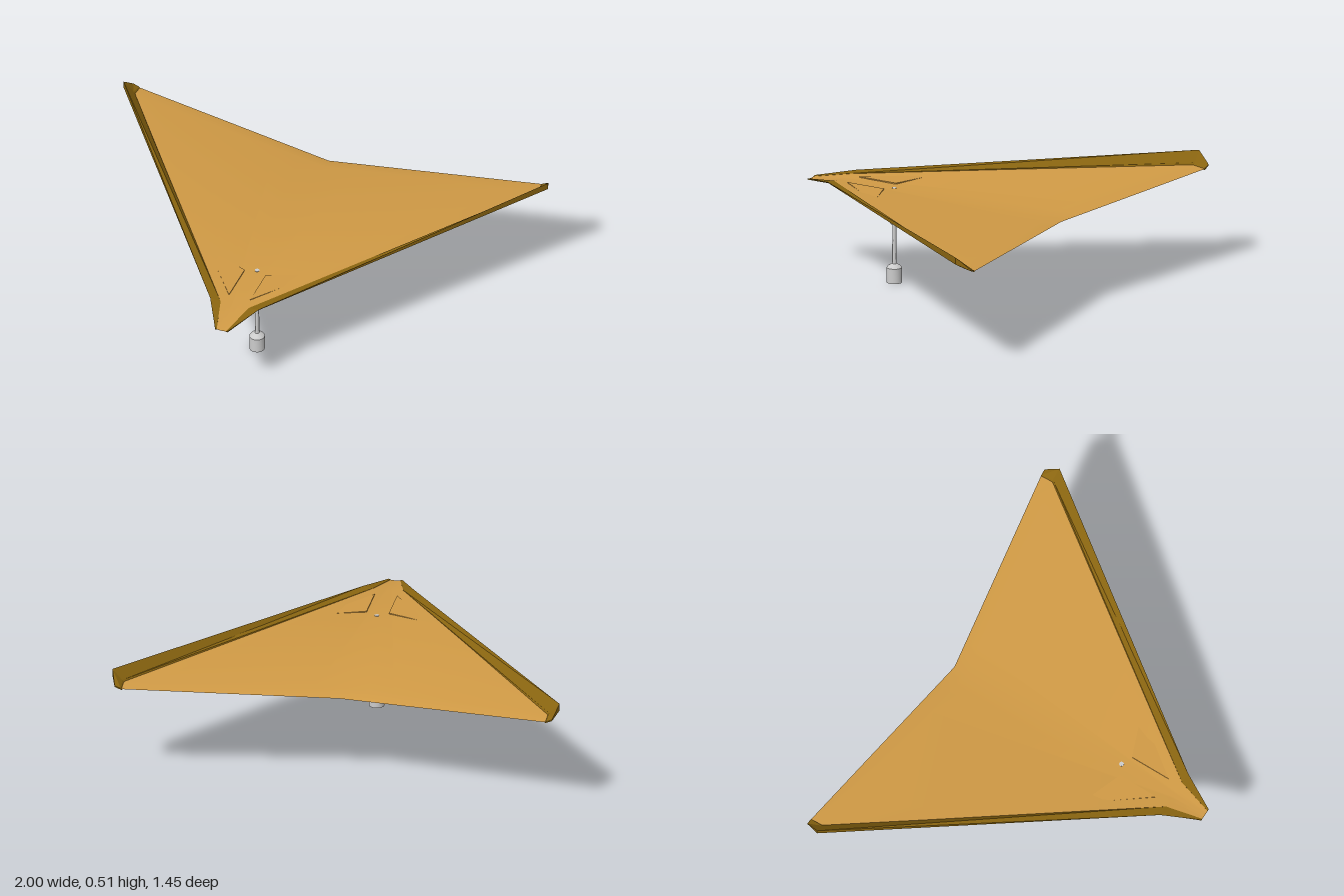
import * as THREE from 'three';
import { toCreasedNormals } from 'three/addons/utils/BufferGeometryUtils.js';

const sailMat = new THREE.MeshStandardMaterial({ color: 0xd09a45, side: THREE.DoubleSide });
const rimMat = new THREE.MeshStandardMaterial({ color: 0x8a6510, side: THREE.DoubleSide });
const greyMat = new THREE.MeshStandardMaterial({ color: 0xcccccc });

// Skin over rows of [x, y, z] points; closed rows form a capped tube
function loft(rows, closed) {
  const n = rows[0].length, index = [];
  const last = closed ? n : n - 1;
  for (let i = 0; i < rows.length - 1; i++) {
    for (let j = 0; j < last; j++) {
      const a = i * n + j, b = i * n + (j + 1) % n;
      index.push(a, b, a + n, b, b + n, a + n);
    }
  }
  if (closed) {
    const e = (rows.length - 1) * n;
    for (let j = 1; j < n - 1; j++) index.push(0, j + 1, j, e, e + j, e + j + 1);
  }
  const geo = new THREE.BufferGeometry();
  geo.setAttribute('position', new THREE.Float32BufferAttribute(rows.flat(2), 3));
  geo.setIndex(index);
  geo.computeVertexNormals();
  return geo;
}

function add(group, name, geo, mat) {
  const mesh = new THREE.Mesh(geo, mat);
  mesh.name = name;
  group.add(mesh);
  return mesh;
}

export function createModel() {
  const model = new THREE.Group();
  model.name = 'deltaWing';

  // Sail: keel points paired with the points where the sail meets the rim
  const keel = [[0, 0.409, 0.72], [0, 0.43, 0.56], [0, 0.43, -0.51], [0, 0.411, -0.58]];
  const edge = [[0.022, 0.411, 0.72], [0.066, 0.437, 0.56], [0.95, 0.452, -0.66], [0.95, 0.442, -0.728]];
  const steps = 8;
  const sailRows = keel.map((k, i) => {
    const row = [];
    for (let j = -steps; j <= steps; j++) {
      const t = Math.abs(j) / steps, s = Math.sign(j);
      row.push([s * t * edge[i][0], k[1] + t * (edge[i][1] - k[1]), k[2] + t * (edge[i][2] - k[2])]);
    }
    return row;
  });
  add(model, 'sail', toCreasedNormals(loft(sailRows, false), 0.5), sailMat);

  // Upturned leading edge: inner top, outer top, outer bottom, inner bottom
  const rim = [
    [[0.022, 0.412, 0.72], [0.03, 0.415, 0.72], [0.03, 0.409, 0.72], [0.022, 0.408, 0.72]],
    [[0.066, 0.438, 0.56], [0.115, 0.443, 0.56], [0.11, 0.437, 0.56], [0.066, 0.43, 0.56]],
    [[0.955, 0.46, -0.67], [1, 0.507, -0.664], [1, 0.475, -0.664], [0.945, 0.446, -0.67]],
    [[0.95, 0.445, -0.728], [0.978, 0.456, -0.728], [0.978, 0.45, -0.728], [0.945, 0.437, -0.728]],
  ];
  const mirrored = rim.map(row => row.map(([x, y, z]) => [-x, y, z]).reverse());
  for (const [name, rows] of [['leftRim', rim], ['rightRim', mirrored]]) {
    const geo = loft(rows, true).toNonIndexed();
    geo.computeVertexNormals();
    add(model, name, geo, rimMat);
  }

  // Thin triangular nose reinforcements
  for (const s of [1, -1]) {
    const tri = new THREE.Shape();
    tri.moveTo(s * 0.05, -0.5);
    tri.lineTo(s * 0.25, -0.235);
    tri.lineTo(s * 0.05, -0.31);
    const geo = new THREE.ExtrudeGeometry(tri, { depth: 0.007, bevelEnabled: false });
    geo.rotateX(-Math.PI / 2);
    add(model, s > 0 ? 'leftNosePatch' : 'rightNosePatch', geo, sailMat).position.y = 0.43;
  }

  // Hanging post with collar and weighted foot
  const profile = [
    [0, 0], [0.034, 0], [0.034, 0.068], [0.028, 0.076], [0.01, 0.086], [0.0085, 0.268],
    [0.018, 0.268], [0.018, 0.281], [0.0105, 0.281], [0.0105, 0.432], [0, 0.432],
  ].map(([r, y]) => new THREE.Vector2(r, y));
  const post = toCreasedNormals(new THREE.LatheGeometry(profile, 20), 0.5);
  add(model, 'post', post, greyMat).position.z = 0.287;

  return model;
}
